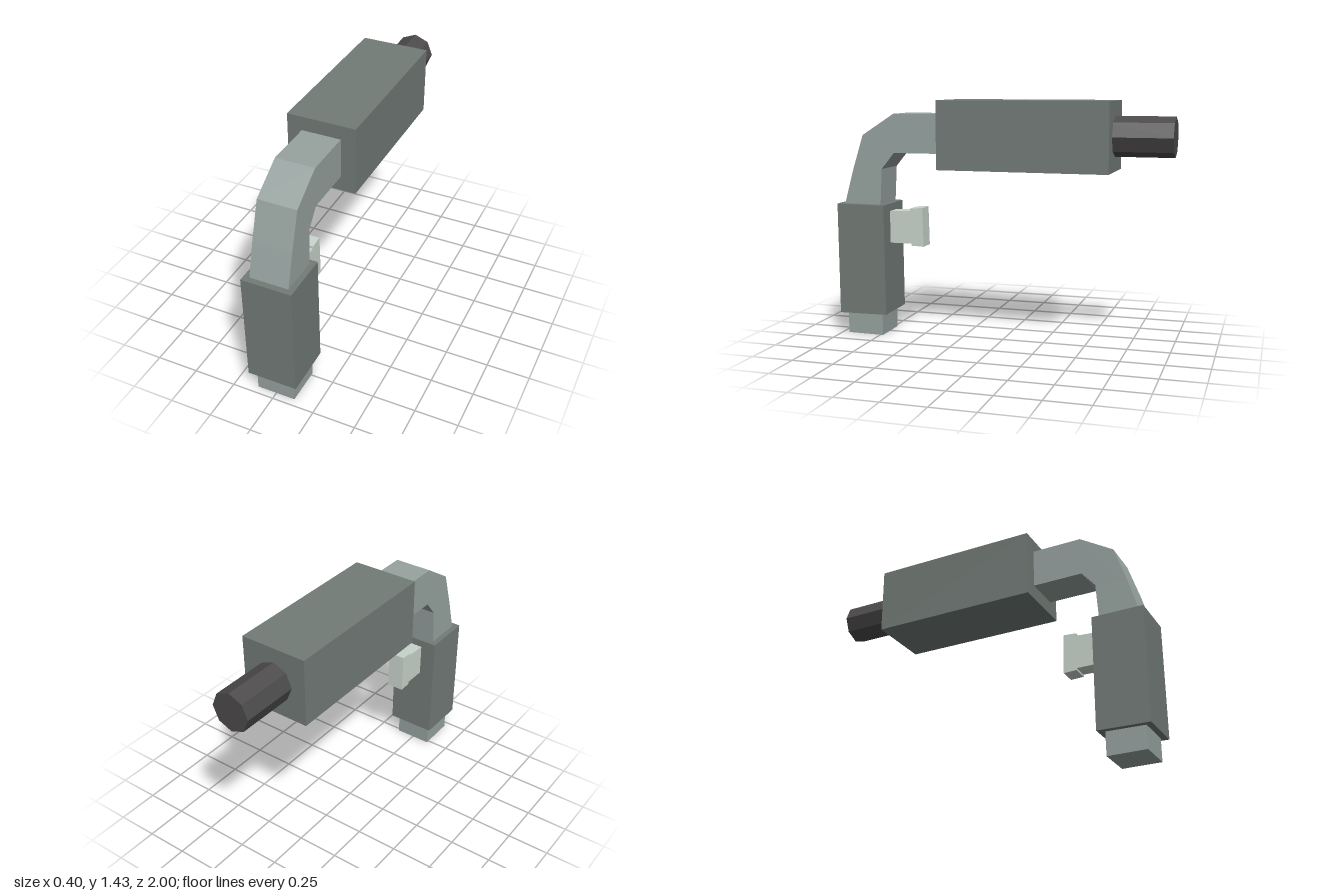
import * as THREE from 'three';

const flat = (name, color) => {
  const m = new THREE.MeshStandardMaterial({ color, flatShading: true });
  m.name = name;
  return m;
};

export function createModel() {
  const group = new THREE.Group();
  const casing = flat('casing grey', 0x737b77);
  const tube = flat('tube grey', 0x97a3a0);
  const pale = flat('pale grey', 0xc9d5cc);
  const dark = flat('dark grey', 0x4d4b4b);

  const add = (name, geometry, material) => {
    const mesh = new THREE.Mesh(geometry, material);
    mesh.name = name;
    group.add(mesh);
    return mesh;
  };

  // Side profile given as [z, y] points, extruded evenly across x
  const slab = (name, points, width, material) => {
    const shape = new THREE.Shape(points.map(([z, y]) => new THREE.Vector2(z, y)));
    const geometry = new THREE.ExtrudeGeometry(shape, { depth: width, bevelEnabled: false });
    geometry.translate(0, 0, -width / 2).rotateY(-Math.PI / 2);
    return add(name, geometry, material);
  };

  // Bent square tube running from the foot up into the main body
  slab('bentTube', [
    [0.957, 0.002], [0.965, 0.8], [0.91, 1.0], [0.84, 1.22], [0.64, 1.348], [0.33, 1.348],
    [0.33, 1.117], [0.64, 1.117], [0.72, 1.02], [0.732, 0.8], [0.732, 0],
  ], 0.228, tube);

  // Slightly tilted handle sleeve
  slab('handleSleeve', [[1.0, 0.806], [0.7, 0.804], [0.694, 0.137], [0.995, 0.133]], 0.294, casing);

  // Switch on the back of the handle
  slab('switchStem', [[0.71, 0.758], [0.565, 0.765], [0.56, 0.565], [0.71, 0.565]], 0.1, pale);
  slab('switchHead', [[0.567, 0.78], [0.489, 0.785], [0.483, 0.55], [0.561, 0.553]], 0.104, pale);

  // Main body
  add('mainBody', new THREE.BoxGeometry(0.4, 0.4, 1.004), casing).position.set(0, 1.23, -0.16);

  // Octagonal rear rod
  const rod = new THREE.CylinderGeometry(0.115, 0.115, 0.36, 8).rotateX(Math.PI / 2);
  add('rearRod', rod, dark).position.set(0, 1.23, -0.82);

  return group;
}
